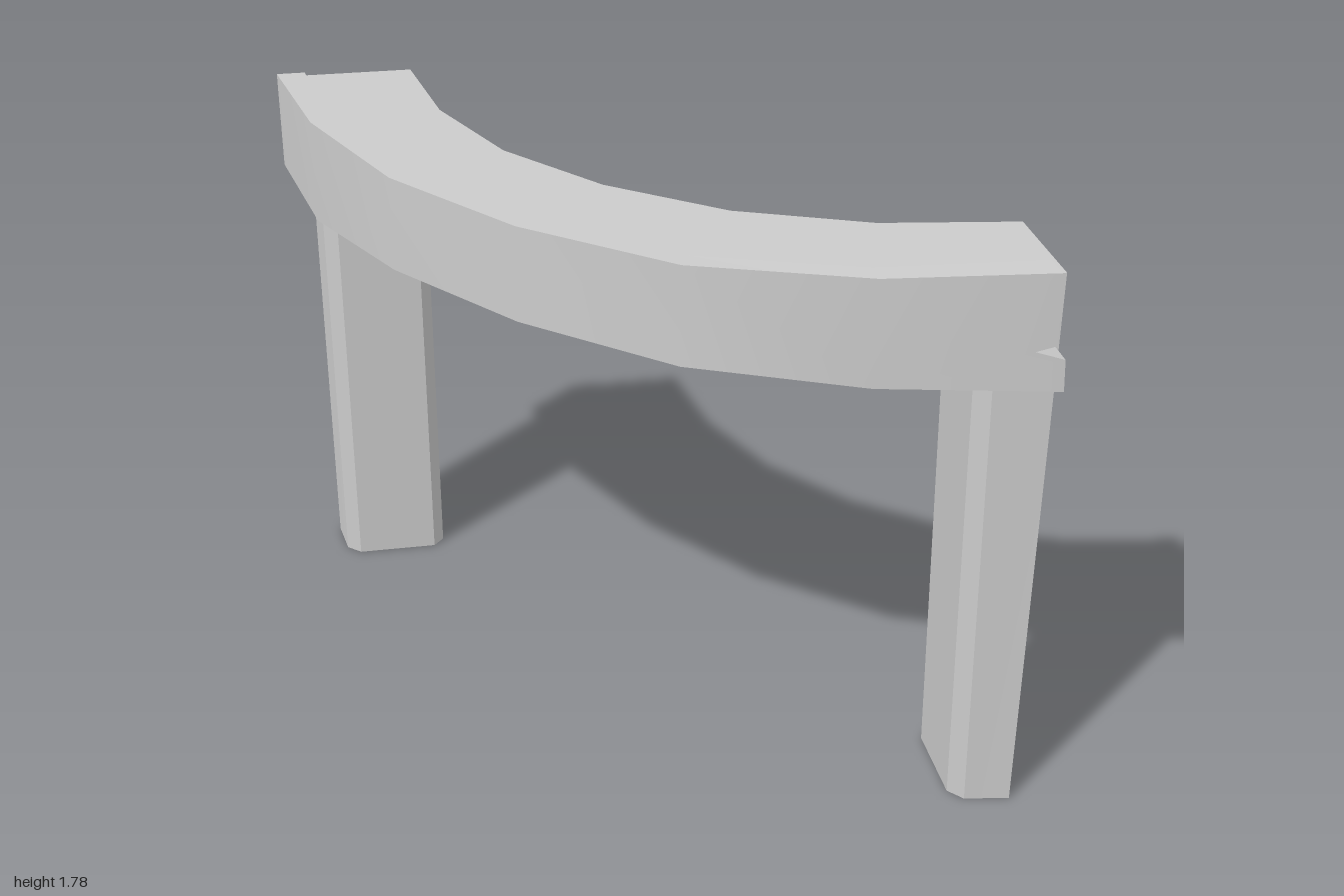
import * as THREE from 'three';
import { mergeGeometries, toCreasedNormals } from 'three/addons/utils/BufferGeometryUtils.js';

// Skin a list of equal closed rings of [x, y, z] points, with convex caps.
function loft(rings, capEnd = true) {
  const n = rings[0].length, last = (rings.length - 1) * n, index = [];
  for (let r = 0; r < rings.length - 1; r++) {
    for (let j = 0; j < n; j++) {
      const a = r * n + j, b = r * n + (j + 1) % n;
      index.push(a, a + n, b, b, a + n, b + n);
    }
  }
  for (let j = 1; j < n - 1; j++) {
    index.push(0, j, j + 1);
    if (capEnd) index.push(last, last + j + 1, last + j);
  }
  const g = new THREE.BufferGeometry();
  g.setAttribute('position', new THREE.Float32BufferAttribute(rings.flat(2), 3));
  g.setIndex(index);
  return g.toNonIndexed();
}

export function createModel() {
  const group = new THREE.Group();
  const material = new THREE.MeshStandardMaterial({ color: 0xcccccc });
  const add = (name, geometry, crease) => {
    const mesh = new THREE.Mesh(toCreasedNormals(geometry, crease), material);
    mesh.name = name;
    group.add(mesh);
  };

  // Plan curves [x, z] of the quarter ring
  const inner = [[-0.565, -1], [-0.505, -0.6], [-0.35, -0.22], [-0.1, 0.1], [0.22, 0.35], [0.6, 0.505], [1, 0.565]];
  const middle = [[-0.91, -1], [-0.84, -0.5], [-0.65, -0.04], [-0.35, 0.35], [0.04, 0.65], [0.5, 0.84], [1, 0.91]];
  // Fascia outer curve with its uneven top and bottom edges: [x, z, top, bottom]
  const outer = [
    [-1, -1, 1.75, 1.435], [-0.91, -0.49, 1.765, 1.44], [-0.705, -0.01, 1.76, 1.47],
    [-0.39, 0.39, 1.755, 1.465], [0.01, 0.71, 1.75, 1.45], [0.49, 0.915, 1.765, 1.445],
  ];

  // Curved top beam, its underside sloping down to the outside
  add('curvedBeam', loft(inner.map(([x, z], i) => {
    const [mx, mz] = middle[i];
    return [[x, 1.74, z], [x, 1.6, z], [mx, 1.57, mz], [mx, 1.74, mz]];
  })), 0.4);

  // Fascia board along the outside of the beam
  const board = loft(outer.map(([x, z, top, bottom], i) => {
    const [mx, mz] = i === 5 ? [0.49, 0.845] : middle[i];
    return [[mx, top, mz], [mx, bottom, mz], [x, bottom, z], [x, top, z]];
  }), false);

  // Last stretch of the board, with a split end, sheared to follow the curve
  const split = new THREE.Shape([
    [0.49, 1.445], [0.99, 1.435], [0.985, 1.53], [0.905, 1.553], [0.96, 1.57], [0.953, 1.78], [0.49, 1.765],
  ].map(([x, y]) => new THREE.Vector2(x, y)));
  const end = new THREE.ExtrudeGeometry(split, { depth: 1, bevelEnabled: false });
  const p = end.attributes.position;
  for (let i = 0; i < p.count; i++) {
    const dx = p.getX(i) - 0.49;
    p.setZ(i, THREE.MathUtils.lerp(0.845 + dx * 0.14, 0.915 + dx * 0.17, p.getZ(i)));
  }
  end.deleteAttribute('uv');
  end.deleteAttribute('normal');
  add('fascia', mergeGeometries([board, end]), 0.4);

  // Chamfered legs, widening upwards on the side facing the opening
  const legRing = (y, flare) => [
    [1, y, 0.565], [1, y, 0.91], [0.865 - flare, y, 0.89],
    [0.825 - flare, y, 0.845], [0.825 - flare, y, 0.58], [0.865 - flare, y, 0.545],
  ];
  const rings = [legRing(0, 0), legRing(1.6, 0.037)];
  add('leftLeg', loft(rings), 0.3);
  add('rightLeg', loft(rings.map(r => r.map(([x, y, z]) => [-z, y, -x]).reverse())), 0.3);

  return group;
}
